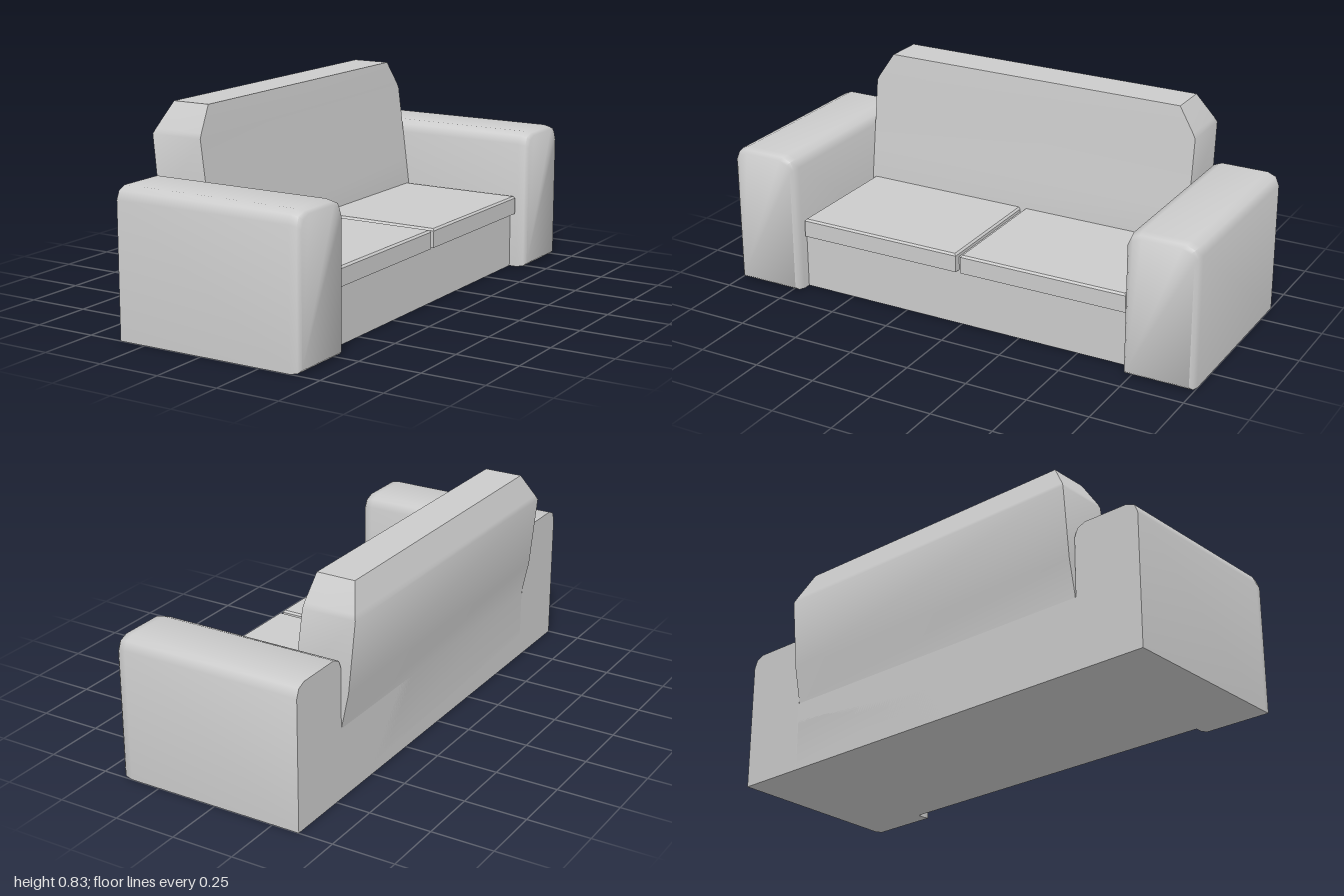
import * as THREE from 'three';
import { toCreasedNormals } from 'three/addons/utils/BufferGeometryUtils.js';

const material = new THREE.MeshStandardMaterial({ color: 0xcccccc });

// Skin a stack of convex rings (counter-clockwise around the travel direction) and cap both ends
function loft(rings, crease) {
  const n = rings[0].length;
  const index = [];
  for (let i = 0; i < rings.length - 1; i++) {
    for (let j = 0; j < n; j++) {
      const a = i * n + j, b = i * n + (j + 1) % n;
      index.push(a, b, b + n, a, b + n, a + n);
    }
  }
  const last = (rings.length - 1) * n;
  for (let j = 1; j < n - 1; j++) {
    index.push(0, j + 1, j, last, last + j, last + j + 1);
  }
  const geometry = new THREE.BufferGeometry();
  geometry.setAttribute('position', new THREE.Float32BufferAttribute(rings.flat(2), 3));
  geometry.setIndex(index);
  return toCreasedNormals(geometry, crease);
}

// Horizontal rectangle at height y
const rect = (y, x0, x1, z0, z1) => [[x0, y, z0], [x0, y, z1], [x1, y, z1], [x1, y, z0]];

// Upright arm outline at depth x, shrunk by inset, with rounded top corners
function armRing(x, inset) {
  const w = 0.142 - inset, top = 0.572 - inset, r = 0.048;
  const ring = [[x, inset, w], [x, inset, -w]];
  for (const side of [-1, 1]) {
    for (let k = 0; k <= 2; k++) {
      const t = (side < 0 ? k : 2 - k) * Math.PI / 4;
      ring.push([x, top - r + r * Math.sin(t), side * (w - r + r * Math.cos(t))]);
    }
  }
  return ring;
}

export function createModel() {
  const sofa = new THREE.Group();
  sofa.name = 'sofa';
  const add = (name, geometry) => {
    const mesh = new THREE.Mesh(geometry, material);
    mesh.name = name;
    sofa.add(mesh);
    return mesh;
  };

  // Base between the arms
  add('base', new THREE.BoxGeometry(0.705, 0.285, 1.436)).position.set(-0.0085, 0.1425, 0);

  // Backrest: [height, rear x, front x, half width]
  const levels = [
    [0, -0.361, -0.145, 0.713], [0.29, -0.361, -0.145, 0.713],
    [0.43, -0.39, -0.163, 0.713], [0.715, -0.418, -0.2, 0.713],
    [0.735, -0.41, -0.202, 0.703], [0.832, -0.372, -0.215, 0.64],
  ];
  add('backrest', loft(levels.map(([y, b, f, h]) => rect(y, b, f, -h, h)), 0.6));

  for (const side of [1, -1]) {
    const label = side > 0 ? 'left' : 'right';

    // Arm with a softened front edge
    const arm = loft([
      armRing(-0.361, 0), armRing(0.375, 0), armRing(0.405, 0.005), armRing(0.417, 0.016),
    ], 0.9);
    add(label + 'Arm', arm).position.z = side * 0.858;

    // Seat cushion with a small bevel round the top
    const cushion = loft([[0.23, 0], [0.297, 0], [0.305, 0.007]].map(
      ([y, i]) => rect(y, -0.25 + i, 0.371 - i, -0.347 + i, 0.347 - i)), 0.5);
    add(label + 'Cushion', cushion).position.z = side * 0.357;
  }
  return sofa;
}
